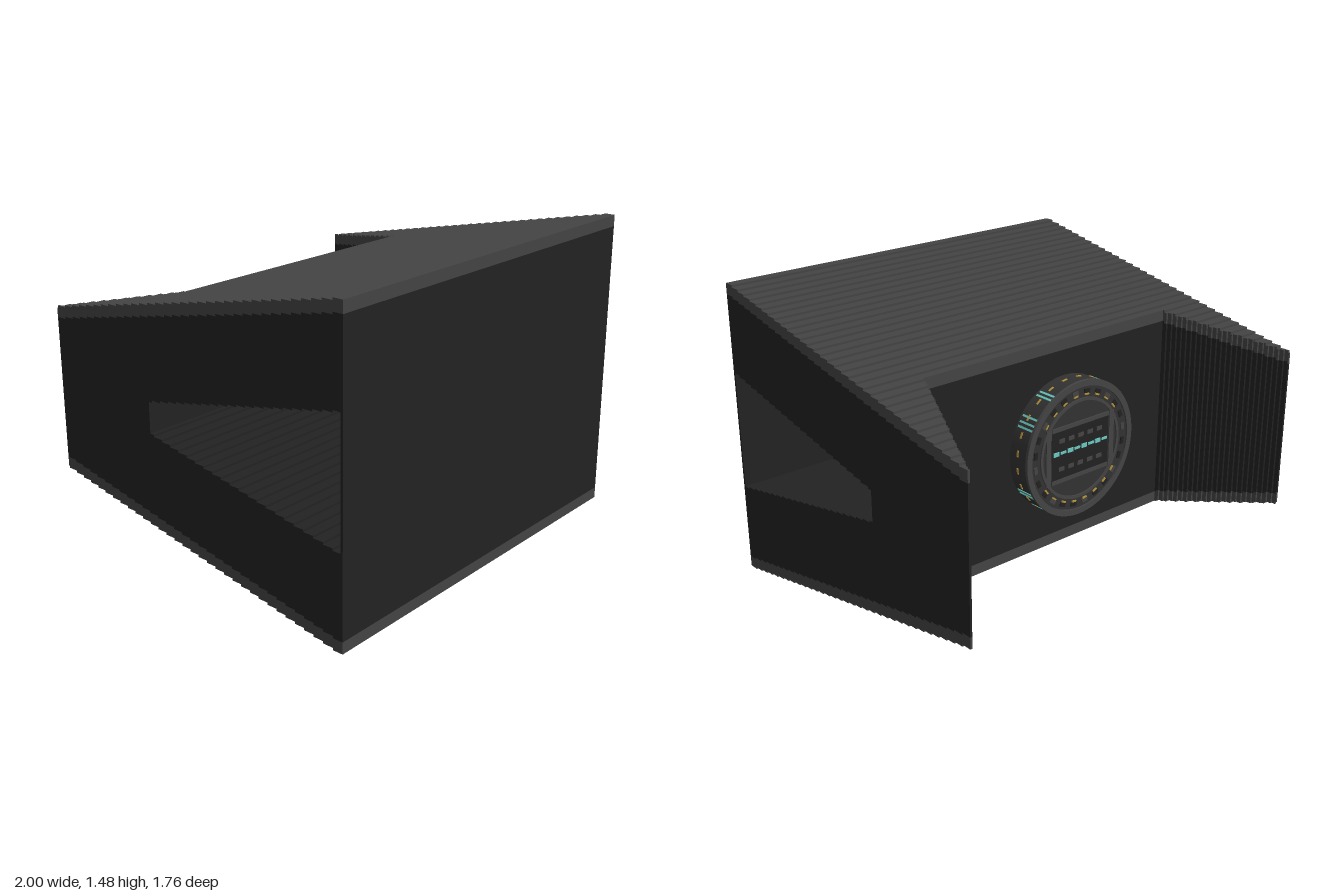
import * as THREE from 'three';

const mat = (name, color) => Object.assign(new THREE.MeshStandardMaterial({ color }), { name });

export function createModel() {
  const charcoal = mat('charcoal', 0x222222);
  const grey = mat('grey', 0x444444);
  const gunmetal = mat('gunmetal', 0x323232);
  const teal = mat('teal', 0x6cc9c0);
  const gold = mat('gold', 0xb8943a);
  const root = new THREE.Group();
  root.name = 'wedgeHousing';

  const H = 1.475, BAND = 0.055, RISE = 0.0105, RUN = 0.0518, FRONT = -0.88, NOTCH = 0.25;

  // Side profiles use u = -z, running from the front to the back
  const lift = (u) => RISE * Math.floor((u - FRONT) / RUN + 1e-6);

  // Stepped line rising (sign 1) or falling (sign -1) between two depths
  function stair(u0, u1, base, sign) {
    const pts = [[u0, base + sign * lift(u0)]];
    for (let k = 1; k < 40; k++) {
      const u = FRONT + k * RUN;
      if (u <= u0 + 1e-4 || u >= u1 - 1e-4) continue;
      pts.push([u, base + sign * RISE * (k - 1)], [u, base + sign * RISE * k]);
    }
    pts.push([u1, pts[pts.length - 1][1]]);
    return pts.map(([x, y]) => new THREE.Vector2(x, y));
  }
  const between = (low, high) => [...low, ...high.reverse()];

  // One slice across x made of bottom skin, core and top skin
  function slice(name, x0, x1, u0, u1, hollow) {
    const g = new THREE.Group();
    g.name = name;
    const layer = (part, low, high, material, hole) => {
      const shape = new THREE.Shape(between(low, high));
      if (hole) shape.holes.push(new THREE.Path(hole));
      const geo = new THREE.ExtrudeGeometry(shape, { depth: x1 - x0, bevelEnabled: false });
      geo.rotateY(Math.PI / 2).translate(x0, 0, 0);
      const m = new THREE.Mesh(geo, material);
      m.name = part;
      g.add(m);
    };
    const tunnel = hollow && between(stair(-0.868, 0.23, 0.445, 1), stair(-0.868, 0.23, 1.035, -1));
    layer('bottomSkin', stair(u0, u1, 0, 1), stair(u0, u1, BAND, 1), grey);
    layer('core', stair(u0, u1, BAND, 1), stair(u0, u1, H - BAND, -1), charcoal, tunnel);
    layer('topSkin', stair(u0, u1, H - BAND, -1), stair(u0, u1, H, -1), grey);
    root.add(g);
  }

  slice('mainBody', -1, 1, FRONT, NOTCH, true);

  // Rear side fins, stepped towards their outer tips
  function fin(name, side, start, count, tip) {
    const w = (1 - start) / count;
    for (let i = 0; i < count; i++) {
      const a = side * (start + i * w), b = side * (start + (i + 1) * w);
      slice(name, Math.min(a, b), Math.max(a, b), NOTCH, NOTCH + (tip - NOTCH) * (i + 1) / count);
    }
  }
  fin('leftFin', 1, 0.727, 26, 0.88);
  fin('rightFin', -1, 0.745, 25, 0.835);

  // Round hatch on the rear wall, local +z points backwards
  const hatch = new THREE.Group();
  hatch.name = 'roundHatch';
  hatch.position.set(-0.083, 0.745, -0.25);
  hatch.rotation.y = Math.PI;
  root.add(hatch);
  const R = 0.335;
  const put = (name, geo, material, x = 0, y = 0, z = 0, rot = 0) => {
    const m = new THREE.Mesh(geo, material);
    m.name = name;
    m.position.set(x, y, z);
    m.rotation.z = rot;
    hatch.add(m);
    return m;
  };
  const box = (name, w, h, d, material, x, y, z, rot) =>
    put(name, new THREE.BoxGeometry(w, h, d), material, x, y, z, rot);
  const polar = (name, w, h, d, material, r, a, z) =>
    box(name, w, h, d, material, Math.cos(a) * r, Math.sin(a) * r, z, a - Math.PI / 2);
  const ring = (name, r0, r1, depth, z, material) => {
    const s = new THREE.Shape().absarc(0, 0, r1, 0, Math.PI * 2);
    s.holes.push(new THREE.Path().absarc(0, 0, r0, 0, Math.PI * 2, true));
    put(name, new THREE.ExtrudeGeometry(s, { depth, bevelEnabled: false, curveSegments: 48 }), material, 0, 0, z);
  };

  const drum = new THREE.CylinderGeometry(R - 0.004, R - 0.004, 0.116, 48);
  put('hatchDrum', drum.rotateX(Math.PI / 2), gunmetal, 0, 0, 0.058);
  ring('hatchLip', 0.305, R, 0.015, 0.11, grey);
  ring('innerRing', 0.235, 0.25, 0.007, 0.116, grey);

  // Central panel with side bars and teal light rows
  box('centrePanel', 0.36, 0.26, 0.004, charcoal, 0, 0, 0.117);
  for (const s of [-1, 1]) {
    box('sideBar', 0.03, 0.28, 0.007, grey, s * 0.2, 0, 0.119);
    box('crossBar', 0.36, 0.02, 0.007, grey, 0, s * 0.13, 0.119);
    for (let i = 0; i < 5; i++) box('vent', 0.035, 0.02, 0.007, grey, -0.12 + i * 0.06, s * 0.07, 0.119);
  }
  for (let i = 0; i < 8; i++) {
    box('lightDash', 0.034, i % 2 ? 0.012 : 0.02, 0.006, teal, -0.154 + i * 0.044, 0.01, 0.121);
  }

  // Face plates, gold dashes and rim inlays around the circle
  for (let i = 0; i < 24; i++) {
    const a = (i + 0.5) * Math.PI / 12;
    polar('facePlate', 0.035, 0.02, 0.006, i % 3 ? charcoal : grey, 0.28, a, 0.118);
    if (Math.abs(Math.sin(a)) > 0.6) polar('goldDash', 0.025, 0.008, 0.007, gold, 0.265, a, 0.119);
    polar('rimGold', 0.03, 0.006, 0.009, gold, R - 0.004, a, 0.052);
  }
  for (let q = 0; q < 4; q++) {
    for (const d of [-0.66, -0.57, -0.5, 0.5, 0.57]) {
      polar('rimLight', 0.01, 0.006, 0.095, teal, R - 0.004, q * Math.PI / 2 + d + Math.PI / 2, 0.06);
    }
  }
  return root;
}
